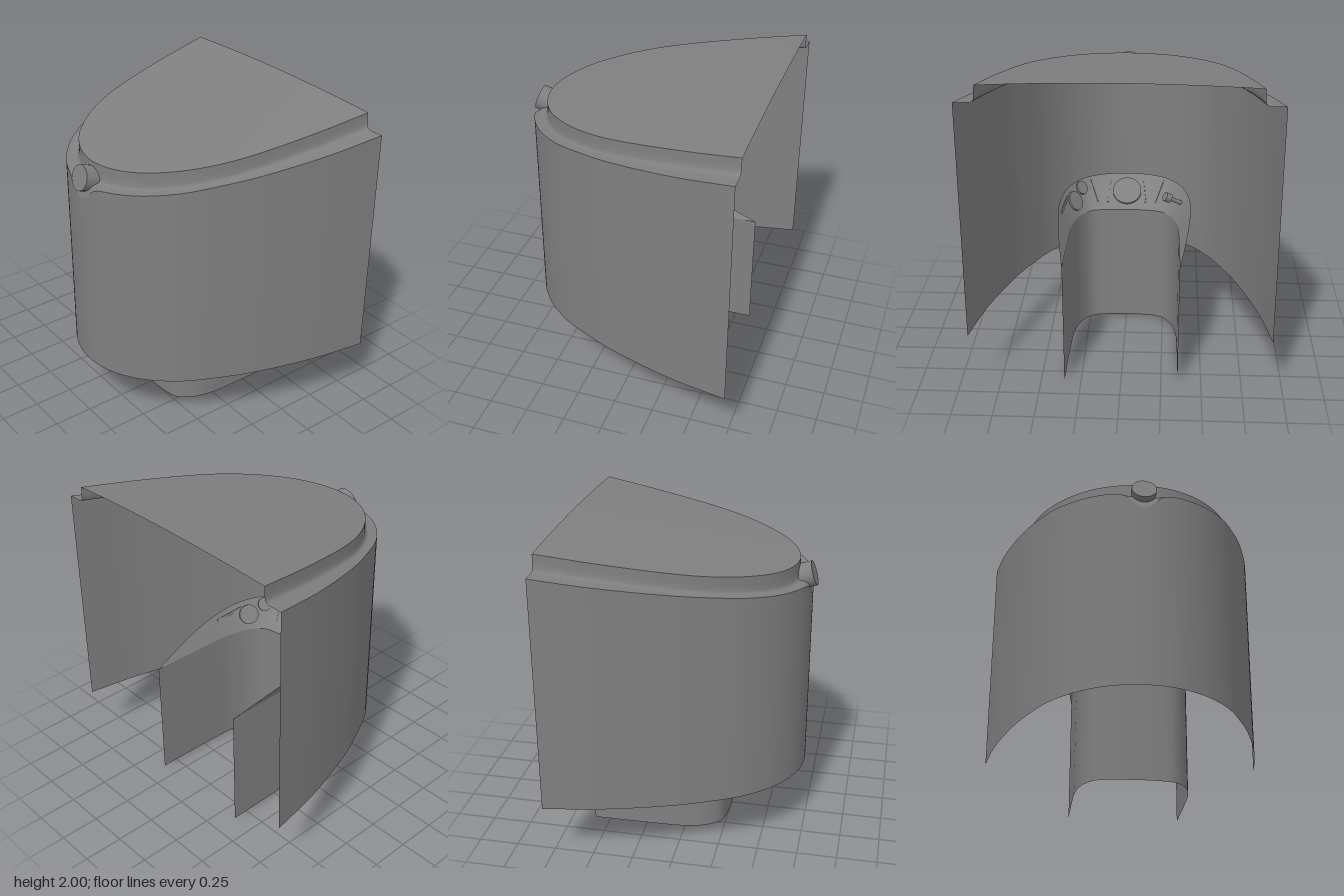
import * as THREE from 'three';

const N = 96; // samples along each U-shaped outline

// Half outlines [x, z, y] from the back edge to the front centre
const SKIRT = [[.917, -.757], [.85, -.4], [.73, 0], [.645, .2], [.53, .415], [.37, .59], [.19, .695], [0, .729]];
const LID = [[.795, -.757], [.74, -.4], [.65, 0], [.575, .2], [.465, .38], [.32, .53], [.165, .615], [0, .645]];
const INNER = [[.355, -.6], [.35, -.2], [.34, 0], [.305, .13], [.235, .22], [.12, .247], [0, .252]];
const PANEL = [[.357, -.6, .8], [.41, -.24, .905], [.42, .03, .955], [.375, .21, .98], [.275, .37, .98], [.14, .44, .98], [0, .455, .98]];

// Mirror a half outline and sample it smoothly
function outline(half) {
  const mirrored = half.slice(0, -1).reverse().map(([x, z, y]) => [-x, z, y]);
  const curve = new THREE.CatmullRomCurve3([...half, ...mirrored].map(([x, z, y = 0]) => new THREE.Vector3(x, y, z)));
  return Array.from({ length: N + 1 }, (_, i) => curve.getPoint(i / N));
}

// Surface through rows of points of equal length
function loft(rows) {
  const pos = [], index = [], n = rows[0].length;
  rows.forEach(row => row.forEach(p => pos.push(p.x, p.y, p.z)));
  for (let r = 0; r < rows.length - 1; r++) {
    for (let i = 0; i < n - 1; i++) {
      const a = r * n + i, b = a + 1, c = a + n, d = c + 1;
      index.push(a, c, b, b, c, d);
    }
  }
  const g = new THREE.BufferGeometry();
  g.setAttribute('position', new THREE.Float32BufferAttribute(pos, 3));
  g.setIndex(index);
  g.computeVertexNormals();
  return g;
}

const lerp = (a, b, t) => a.map((p, i) => p.clone().lerp(b[i], t));
const atHeight = (row, f) => row.map(p => new THREE.Vector3(p.x, typeof f === 'number' ? f : f(p), p.z));

export function createModel() {
  const model = new THREE.Group();
  const darkGrey = new THREE.MeshStandardMaterial({ color: 0x808080, side: THREE.DoubleSide });
  const add = (name, geometry, parent = model) => {
    const mesh = new THREE.Mesh(geometry, darkGrey);
    mesh.name = name;
    parent.add(mesh);
    return mesh;
  };

  const skirt = outline(SKIRT), lid = outline(LID), inner = outline(INNER), panel = outline(PANEL);

  // Sloping heights: shoulder, shoulder with the front dip, lid
  const base = p => 1.768 - .147 * p.z;
  const rimY = p => base(p) - (p.z > 0 ? .108 * Math.exp(-((p.x / .09) ** 2)) : 0);
  const lidY = p => 1.876 - .164 * p.z;
  const edgeDrop = p => .02 * THREE.MathUtils.clamp((.645 - p.z) / 1.4, 0, 1);

  // Outer wall
  const rim = atHeight(skirt, rimY);
  add('outerWall', loft([atHeight(skirt, .4), rim]));

  // Shoulder running inward from the wall and curving up to the lid:
  // [inward fraction, share of the dip, share of the lid's height]
  const lidTop = atHeight(lid, p => lidY(p) - edgeDrop(p));
  const section = [[0, 1, 0], [.12, .55, 0], [.28, .25, 0], [.5, .08, 0], [.75, 0, 0], [.88, 0, .05], [.96, 0, .2], [.99, 0, .5], [1, 0, 1]];
  add('shoulder', loft(section.map(([t, dip, rise]) => lerp(skirt, lid, t).map((p, i) => {
    const low = base(skirt[i]) + (rim[i].y - base(skirt[i])) * dip;
    return new THREE.Vector3(p.x, low + (lidTop[i].y - low) * rise, p.z);
  }))));

  // Gently crowned lid
  add('lidTop', loft([1, .97, .85, .65, .4, .2, 0].map(t => lidTop.map(p =>
    new THREE.Vector3(p.x * t, lidY(p) - edgeDrop(p) * t * t, p.z)))));

  // Front button, tilted slightly upward
  const button = add('frontButton', new THREE.CylinderGeometry(.077, .077, .13, 32));
  button.position.set(0, 1.668, .673);
  button.rotation.x = Math.PI / 2 - .32;

  // Inner wall, open at the back
  const innerTop = atHeight(inner, .8);
  add('innerWall', loft([atHeight(inner, 0), innerTop]));

  // Instrument panel rising outward from the inner wall
  add('instrumentPanel', loft([panel, lerp(panel, innerTop, .5), innerTop]));

  // Fittings sit on the panel at a fraction along (u) and across (s) it
  const fittings = new THREE.Group();
  fittings.name = 'panelFittings';
  model.add(fittings);
  const mount = (name, geometry, u, s, lift = 0, turn = 0) => {
    const i = Math.round(u * N);
    const along = panel[i + 1].clone().sub(panel[i - 1]).normalize();
    const across = panel[i].clone().sub(innerTop[i]);
    const normal = along.clone().cross(across).normalize();
    if (normal.y < 0) normal.negate();
    const mesh = add(name, geometry, fittings);
    mesh.position.copy(innerTop[i]).addScaledVector(across, s).addScaledVector(normal, lift);
    mesh.quaternion.setFromRotationMatrix(new THREE.Matrix4().makeBasis(along, normal, along.clone().cross(normal)));
    mesh.rotateY(turn);
  };

  // Dials
  for (const [u, s, r] of [[.25, .5, .065], [.305, .75, .045], [.5, .5, .095]]) {
    mount('dial', new THREE.CylinderGeometry(r, r, .03, 32), u, s);
  }

  // Slot, dividers and the bars beside the middle dial
  mount('slotStrip', new THREE.BoxGeometry(.2, .02, .014), .175, .75);
  for (const side of [-1, 1]) {
    mount('panelDivider', new THREE.BoxGeometry(.008, .008, .2), .5 + side * .135, .5);
    mount('dialBar', new THREE.BoxGeometry(.012, .016, .16), .5 + side * .073, .5, 0, side * .3);
  }

  // Lever on the right of the panel
  mount('leverShaft', new THREE.CylinderGeometry(.014, .014, .1, 12), .77, .6, .05);
  mount('leverKnob', new THREE.CylinderGeometry(.03, .03, .04, 16), .77, .6, .11);

  return model;
}
